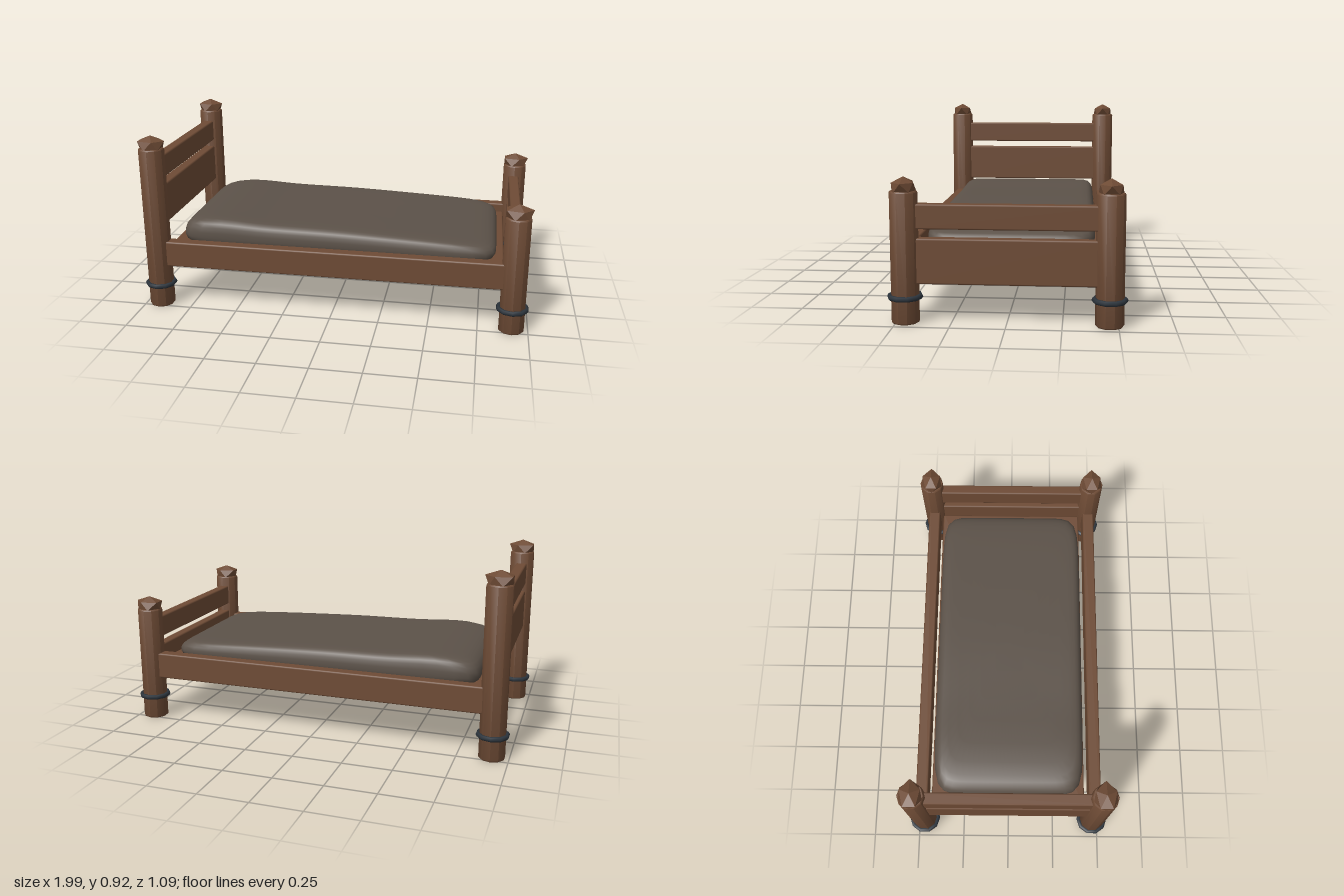
import * as THREE from 'three';
import { mergeVertices, toCreasedNormals } from 'three/addons/utils/BufferGeometryUtils.js';
import { RoundedBoxGeometry } from 'three/addons/geometries/RoundedBoxGeometry.js';
import { ConvexGeometry } from 'three/addons/geometries/ConvexGeometry.js';

const wood = new THREE.MeshStandardMaterial({ color: 0x6e4b35 });
wood.name = 'brown wood';
const cloth = new THREE.MeshStandardMaterial({ color: 0x5c5249 });
cloth.name = 'grey cloth';
const iron = new THREE.MeshStandardMaterial({ color: 0x2c343c });
iron.name = 'dark iron';

const POST_X = 0.917, POST_Z = 0.46;

function addMesh(parent, name, geometry, material, x = 0, y = 0, z = 0) {
  const mesh = new THREE.Mesh(geometry, material);
  mesh.name = name;
  mesh.position.set(x, y, z);
  parent.add(mesh);
  return mesh;
}

// Softly bevelled board given by its low and high limits
function addBoard(parent, name, [x0, x1], [y0, y1], [z0, z1]) {
  const geometry = new RoundedBoxGeometry(x1 - x0, y1 - y0, z1 - z0, 1, 0.008);
  addMesh(parent, name, geometry, wood, (x0 + x1) / 2, (y0 + y1) / 2, (z0 + z1) / 2);
}

// Ten-sided post with bevelled ends
function postGeometry(height) {
  const profile = [[0, 0], [0.06, 0], [0.065, 0.006], [0.065, height - 0.006], [0.06, height], [0, height]];
  const lathe = new THREE.LatheGeometry(profile.map(([r, y]) => new THREE.Vector2(r, y)), 10);
  return toCreasedNormals(lathe, 0.68);
}

// Faceted five-sided cap, two offset rings and a point
function finialGeometry() {
  const points = [new THREE.Vector3(0, 0.064, 0)];
  for (let i = 0; i < 5; i++) {
    const a = (i / 5) * Math.PI * 2;
    const b = a + Math.PI / 5;
    points.push(new THREE.Vector3(0.072 * Math.cos(a), 0.038, 0.052 * Math.sin(a)));
    points.push(new THREE.Vector3(0.06 * Math.cos(b), -0.004, 0.059 * Math.sin(b)));
  }
  return new ConvexGeometry(points);
}

// Rounded-rectangle cushion whose top sags from head to foot
function mattressGeometry() {
  const profile = [
    [0, 0], [0.96, 0], [0.99, 0.1], [1, 0.3], [1, 0.5], [0.99, 0.7], [0.97, 0.84], [0.94, 0.93],
    [0.9, 0.98], [0.82, 1], [0.7, 1], [0.55, 1], [0.4, 1], [0.2, 1], [0, 1],
  ];
  const geometry = new THREE.LatheGeometry(profile.map(([r, h]) => new THREE.Vector2(r, h)), 96);
  const crest = new THREE.SplineCurve([
    [-0.83, 0.437], [-0.62, 0.457], [-0.35, 0.444], [0, 0.438], [0.4, 0.422], [0.83, 0.4],
  ].map(([x, y]) => new THREE.Vector2(x, y))).getPoints(60);
  const topAt = (x) => {
    const i = Math.max(1, crest.findIndex((p) => p.x >= x));
    const a = crest[i - 1], b = crest[i];
    return a.y + ((b.y - a.y) * (x - a.x)) / (b.x - a.x);
  };
  const pos = geometry.attributes.position;
  for (let i = 0; i < pos.count; i++) {
    const r = Math.hypot(pos.getX(i), pos.getZ(i));
    const c = r ? pos.getX(i) / r : 0, s = r ? pos.getZ(i) / r : 0;
    const k = r ? r / Math.pow(Math.abs(c) ** 11 + Math.abs(s) ** 11, 1 / 11) : 0;
    const x = 0.825 * k * c;
    pos.setXYZ(i, x, 0.318 + (topAt(x) - 0.318) * pos.getY(i), 0.398 * k * s);
  }
  geometry.deleteAttribute('uv');
  geometry.deleteAttribute('normal');
  const merged = mergeVertices(geometry, 1e-5);
  merged.computeVertexNormals();
  return merged;
}

export function createModel() {
  const bed = new THREE.Group();
  bed.name = 'bed';

  // Corner posts with caps and iron rings, taller at the head
  const ring = new THREE.TorusGeometry(0.07, 0.0125, 6, 10).rotateX(Math.PI / 2).rotateY(Math.PI / 2);
  const finial = finialGeometry();
  for (const [end, x, height] of [['head', -POST_X, 0.855], ['foot', POST_X, 0.6]]) {
    const post = postGeometry(height);
    for (const z of [-POST_Z, POST_Z]) {
      const corner = new THREE.Group();
      corner.name = `${end}Corner`;
      corner.position.set(x, 0, z);
      addMesh(corner, 'post', post, wood);
      addMesh(corner, 'finial', finial, wood, 0, height, 0);
      addMesh(corner, 'ironRing', ring, iron, 0, 0.12, 0);
      bed.add(corner);
    }
  }

  // Long side rails
  for (const z of [-POST_Z, POST_Z]) addBoard(bed, 'sideRail', [-0.88, 0.88], [0.225, 0.36], [z - 0.032, z + 0.032]);

  // Planks across the head and the foot
  const span = [-0.42, 0.42];
  for (const y of [[0.43, 0.64], [0.677, 0.795]]) addBoard(bed, 'headPlank', [-0.948, -0.89], y, span);
  for (const y of [[0.18, 0.388], [0.43, 0.543]]) addBoard(bed, 'footPlank', [0.885, 0.94], y, span);

  // Slab and mattress
  addBoard(bed, 'bedBase', [-0.87, 0.865], [0.27, 0.32], [-0.41, 0.405]);
  addMesh(bed, 'mattress', mattressGeometry(), cloth);

  return bed;
}
